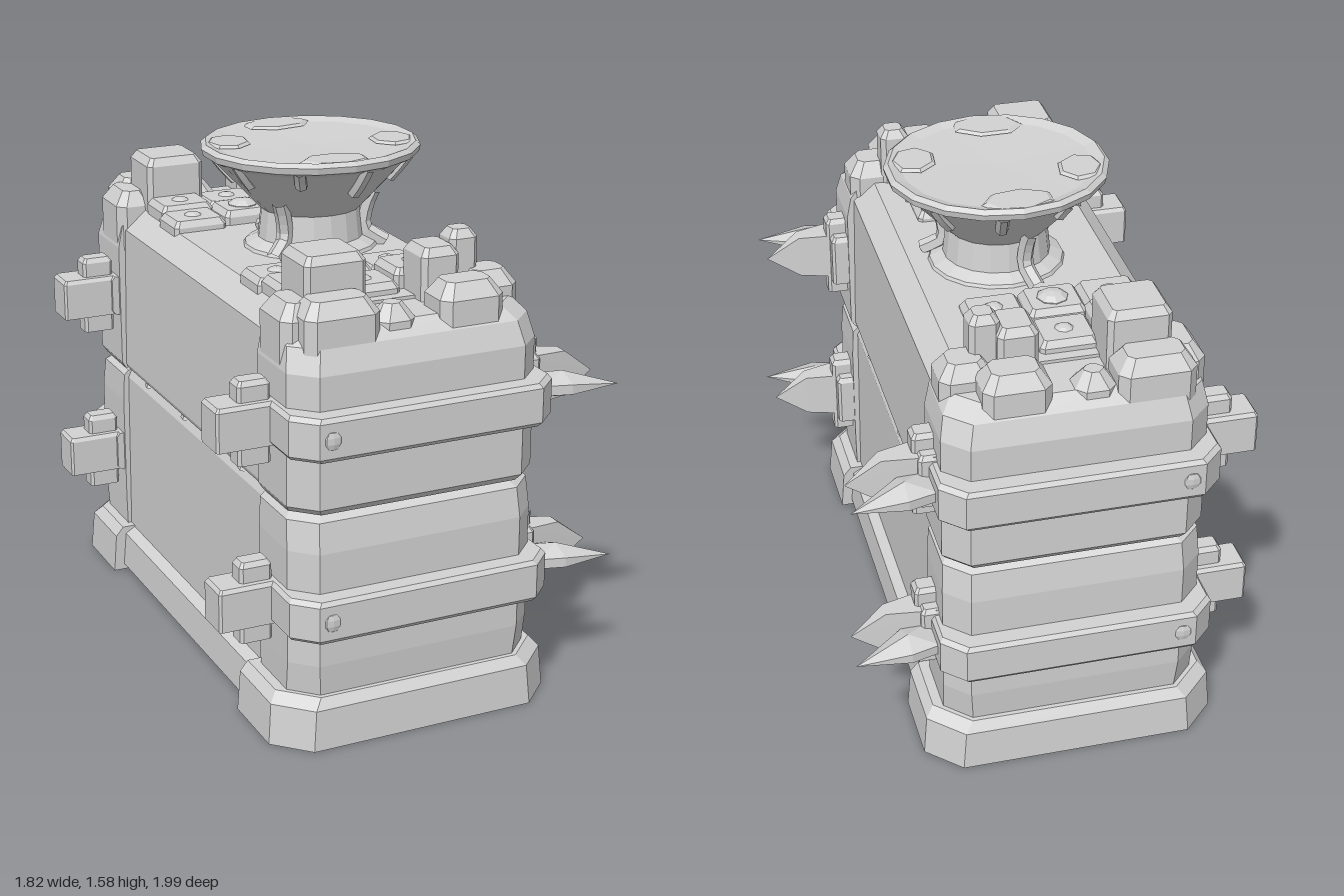
import * as THREE from 'three';
import { ConvexGeometry } from 'three/addons/geometries/ConvexGeometry.js';

const stone = new THREE.MeshStandardMaterial({ color: 0xd2d2d2, flatShading: true });
stone.name = 'grey stone';
const CX = -0.075; // middle of the chest across its width
const BOWL_X = -0.04;

// Joins horizontal outlines [y, [[x, z], ...]] into a closed, flat-sided solid.
function loft(rings) {
  const pos = [];
  const first = rings[0][1];
  let area = 0;
  first.forEach((p, i) => {
    const q = first[(i + 1) % first.length];
    area += p[0] * q[1] - q[0] * p[1];
  });
  const loops = rings.map(([y, pts]) => {
    const loop = pts.map(([x, z]) => [x, y, z]);
    return area > 0 ? loop.reverse() : loop;
  });
  const n = first.length;
  const tri = (a, b, c) => pos.push(...a, ...b, ...c);
  for (let r = 0; r + 1 < loops.length; r++) {
    const lo = loops[r], hi = loops[r + 1];
    for (let i = 0; i < n; i++) {
      const j = (i + 1) % n;
      tri(lo[i], lo[j], hi[j]);
      tri(lo[i], hi[j], hi[i]);
    }
  }
  const bottom = loops[0], top = loops[loops.length - 1];
  for (let i = 1; i + 1 < n; i++) {
    tri(top[0], top[i], top[i + 1]);
    tri(bottom[0], bottom[i + 1], bottom[i]);
  }
  const g = new THREE.BufferGeometry();
  g.setAttribute('position', new THREE.Float32BufferAttribute(pos, 3));
  g.computeVertexNormals();
  return g;
}

// Rectangle with four cut corners.
const octagon = (x, z, w, d, c) => [
  [x - w, z - d + c], [x - w + c, z - d], [x + w - c, z - d], [x + w, z - d + c],
  [x + w, z + d - c], [x + w - c, z + d], [x - w + c, z + d], [x - w, z + d - c],
];

// Outline of one end of the chest: cut corners on the outside only.
const endOutline = (e, inner, outer, half, c) => [
  [CX - half, e * inner], [CX - half, e * (outer - c)], [CX - half + c, e * outer],
  [CX + half - c, e * outer], [CX + half, e * (outer - c)], [CX + half, e * inner],
];

export function createModel() {
  const model = new THREE.Group();
  model.name = 'stoneChest';
  const body = new THREE.Group();
  body.name = 'chestBody';
  body.rotation.y = -Math.PI / 6;
  model.add(body);

  const add = (name, geometry) => {
    const mesh = new THREE.Mesh(geometry, stone);
    mesh.name = name;
    body.add(mesh);
    return mesh;
  };
  // Worn block with a narrower top and cut edges.
  const rock = (name, x, z, w, d, y0, y1, bevel = 0.03) => add(name, loft([
    [y0, octagon(x, z, w, d, bevel * 0.6)],
    [y1 - bevel, octagon(x, z, w, d, bevel * 0.6)],
    [y1, octagon(x, z, w - bevel * 0.7, d - bevel * 0.7, bevel * 0.4)],
  ]));
  const ends = (name, e, inner, rows) => add(name, loft(
    rows.map(([y, outer, half, c]) => [y, endOutline(e, inner, outer, half, c)])));
  const middle = (name, rows) => add(name, loft(
    rows.map(([y, half]) => [y, octagon(CX, 0, half, 0.62, 0.005)])));

  // Long walls, plinth and the recessed core seen in the seam
  middle('plinthSkirt', [[0.02, 0.42], [0.13, 0.41], [0.155, 0.37]]);
  middle('lowerWall', [[0.15, 0.378], [0.68, 0.372], [0.705, 0.36]]);
  middle('upperWall', [[0.715, 0.372], [0.73, 0.378], [1.19, 0.368], [1.25, 0.3]]);
  add('seamCore', loft([0.66, 0.76].map(y => [y, octagon(CX, 0, 0.35, 0.8, 0.08)])));

  for (const e of [1, -1]) {
    // Foot and two stacked end sections
    ends('foot', e, 0.54, [[0, 0.875, 0.455, 0.1], [0.125, 0.868, 0.445, 0.1], [0.155, 0.845, 0.42, 0.1]]);
    ends('lowerEnd', e, 0.57, [[0.15, 0.83, 0.39, 0.075], [0.25, 0.84, 0.392, 0.07],
      [0.6, 0.84, 0.392, 0.07], [0.69, 0.825, 0.387, 0.07], [0.705, 0.805, 0.372, 0.07]]);
    ends('upperEnd', e, 0.57, [[0.715, 0.825, 0.38, 0.07], [0.735, 0.84, 0.392, 0.07],
      [1.13, 0.84, 0.392, 0.07], [1.2, 0.815, 0.378, 0.07], [1.24, 0.77, 0.345, 0.07]]);

    // Straps round the ends with brackets, tabs and horns
    for (const y of [0.415, 0.965]) {
      ends('strap', e, 0.58, [[y - 0.065, 0.892, 0.405, 0.065], [y - 0.052, 0.902, 0.415, 0.065],
        [y + 0.052, 0.902, 0.415, 0.065], [y + 0.065, 0.892, 0.405, 0.065]]);
      rock('bracketPin', 0.335, e * 0.65, 0.045, 0.035, y - 0.135, y + 0.135, 0.015);
      rock('bracketPlate', 0.33, e * 0.65, 0.04, 0.075, y - 0.085, y + 0.085, 0.015);
      rock('backPin', -0.525, e * 0.65, 0.05, 0.035, y - 0.125, y + 0.125, 0.015);
      rock('backTab', -0.55, e * 0.65, 0.1, 0.06, y - 0.065, y + 0.065, 0.012);

      const hull = (name, pts) => add(name, new ConvexGeometry(
        pts.map(([x, dy, z]) => new THREE.Vector3(x, y + dy, e * z))));
      const wedge = [[0.575, -0.01, 0.67]];
      const horn = [[0.585, -0.01, 0.808]];
      for (const k of [1, -1]) {
        wedge.push([0.32, k * 0.08, 0.61], [0.32, k * 0.08, 0.72],
          [0.47, k * 0.07, 0.64], [0.47, k * 0.07, 0.69]);
        horn.push([0.33, k * 0.015, 0.68], [0.33, k * 0.015, 0.80],
          [0.42, k * 0.04, 0.76], [0.43, k * 0.015, 0.70], [0.42, k * 0.015, 0.825]);
      }
      hull('strapPoint', wedge);
      hull('horn', horn);

      const rivet = add('strapRivet', new THREE.SphereGeometry(0.03, 8, 5));
      rivet.position.set(CX - 0.31, y, e * 0.898);
      rivet.scale.z = 0.35;
    }

    // Crenellated stones on each end of the lid: [x, z, half width, half depth, top]
    [[-0.28, 0.61, 0.095, 0.09, 1.425], [0.155, 0.595, 0.045, 0.045, 1.43],
      [0.065, 0.6, 0.06, 0.07, 1.395]].forEach(([x, z, w, d, top]) =>
      rock('merlon', x, e * z, w, d, 1.2, top, 0.025));
    [[-0.4, 0.655, 0.065, 0.095, 1.31], [0.22, 0.635, 0.08, 0.075, 1.315]].forEach(([x, z, w, d, top]) =>
      rock('shoulderStone', x, e * z, w, d, 1.12, top, 0.045));
    [[-0.305, 0.74, 0.115, 0.075, 1.325], [0.1, 0.735, 0.1, 0.075, 1.325],
      [-0.13, 0.74, 0.06, 0.055, 1.285]].forEach(([x, z, w, d, top]) =>
      rock('edgeStone', x, e * z, w, d, 1.16, top, 0.045));

    // Close-set paving stones with studs beside the bowl
    [[-0.3, 0.33, 1.285], [-0.29, 0.465, 1.3], [-0.12, 0.35, 1.295],
      [-0.11, 0.51, 1.285], [0.055, 0.34, 1.28], [0.065, 0.475, 1.31]].forEach(([x, z, top], i) => {
      rock('pavingStone', x, e * z, 0.088, 0.076, 1.2, top, 0.02);
      const stud = add('pavingStud', new THREE.SphereGeometry(i === 2 ? 0.05 : 0.03, 8, 5));
      stud.position.set(x, top - 0.005, e * z);
      stud.scale.y = 0.5;
    });
  }

  // Chips along the seam
  for (const side of [1, -1]) {
    [-0.4, -0.12, 0.3].forEach((z, i) => {
      const chip = add('seamChip', new THREE.ConeGeometry(0.03, 0.04, 5));
      chip.position.set(CX + side * 0.36, 0.72, z + i * 0.04);
      chip.scale.x = 0.5;
    });
  }

  // Flared bowl on a narrow neck
  const bowl = add('bowl', new THREE.LatheGeometry([
    [0.22, 1.23], [0.205, 1.26], [0.165, 1.28], [0.155, 1.37], [0.175, 1.39], [0.305, 1.53],
    [0.335, 1.545], [0.34, 1.565], [0.325, 1.577], [0.29, 1.566], [0, 1.56],
  ].map(p => new THREE.Vector2(...p)), 18));
  bowl.position.set(BOWL_X, 0, 0);
  bowl.scale.z = 0.96;

  // Wax patches on the rim, drips under it and down the neck
  [0.3, 1.7, 3.5, 4.7].forEach((a, i) => {
    const patch = add('rimPatch', new THREE.CylinderGeometry(0.06, 0.07, 0.008, 7));
    patch.position.set(BOWL_X + 0.25 * Math.cos(a), 1.572, 0.25 * Math.sin(a));
    patch.rotation.y = -a;
    patch.scale.z = 1.2 + 0.4 * (i % 2);
  });
  const drip = (name, a, thick, points) => {
    const path = new THREE.CatmullRomCurve3(points.map(([r, y]) =>
      new THREE.Vector3(BOWL_X + r * Math.cos(a), y, r * Math.sin(a))));
    add(name, new THREE.TubeGeometry(path, 6, thick, 6));
  };
  for (let i = 0; i < 9; i++) {
    const fall = 0.03 + 0.02 * (i % 3);
    drip('rimDrip', i * 0.7, 0.02, [[0.305, 1.55], [0.295 - fall * 0.4, 1.54 - fall * 0.6],
      [0.29 - fall * 0.88, 1.525 - fall]]);
  }
  [0.45, 2.5, 4.4].forEach(a =>
    drip('neckDrip', a, 0.025, [[0.19, 1.42], [0.17, 1.37], [0.165, 1.3], [0.23, 1.255]]));

  return model;
}
